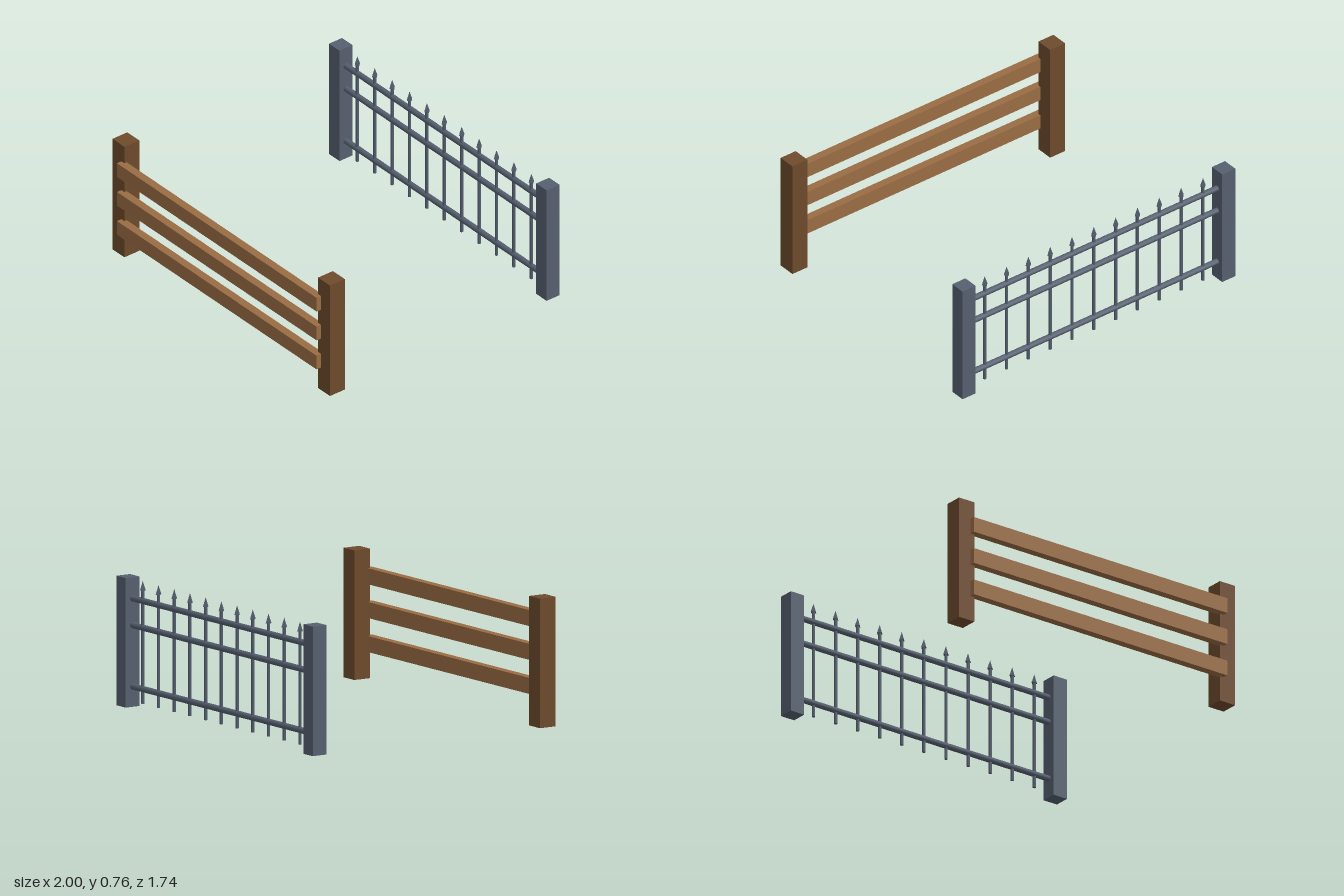
import * as THREE from 'three';

const material = (name, color) => {
  const m = new THREE.MeshStandardMaterial({ color });
  m.name = name;
  return m;
};

export function createModel() {
  const darkWood = material('dark wood', 0x6e4a2c);
  const lightWood = material('light wood', 0x9a6d44);
  const iron = material('iron', 0x566070);

  const add = (group, name, geometry, mat, x, y, z) => {
    const mesh = new THREE.Mesh(geometry, mat);
    mesh.name = name;
    mesh.position.set(x, y, z);
    group.add(mesh);
    return mesh;
  };

  const H = 0.76;

  // Wooden fence: two posts with three planks nailed to the front
  const woodFence = new THREE.Group();
  woodFence.name = 'woodenFence';
  const woodPost = new THREE.BoxGeometry(0.11, H, 0.11);
  for (const s of [-1, 1]) add(woodFence, 'woodenPost', woodPost, darkWood, s * 0.945, H / 2, 0.78);
  const plank = new THREE.BoxGeometry(1.836, 0.094, 0.05);
  for (const y of [0.202, 0.402, 0.6]) add(woodFence, 'plank', plank, lightWood, 0, y, 0.843);

  // Iron fence: two posts, three round rails and spiked pickets
  const ironFence = new THREE.Group();
  ironFence.name = 'ironFence';
  const zi = -0.82;
  const ironPost = new THREE.BoxGeometry(0.096, H, 0.096);
  for (const s of [-1, 1]) add(ironFence, 'ironPost', ironPost, iron, s * 0.952, H / 2, zi);
  const rail = new THREE.CylinderGeometry(0.018, 0.018, 1.84, 10).rotateZ(Math.PI / 2);
  for (const y of [0.12, 0.48, 0.637]) add(ironFence, 'ironRail', rail, iron, 0, y, zi);

  const picket = new THREE.CylinderGeometry(0.01, 0.01, 0.668, 8);
  const spike = new THREE.ConeGeometry(0.02, 0.056, 4).toNonIndexed();
  spike.computeVertexNormals();
  for (let i = -5; i <= 5; i++) {
    add(ironFence, 'picket', picket, iron, i * 0.16, 0.368, zi);
    add(ironFence, 'spike', spike, iron, i * 0.16, 0.727, zi);
  }

  const model = new THREE.Group();
  model.name = 'fenceSet';
  model.add(woodFence, ironFence);
  return model;
}
